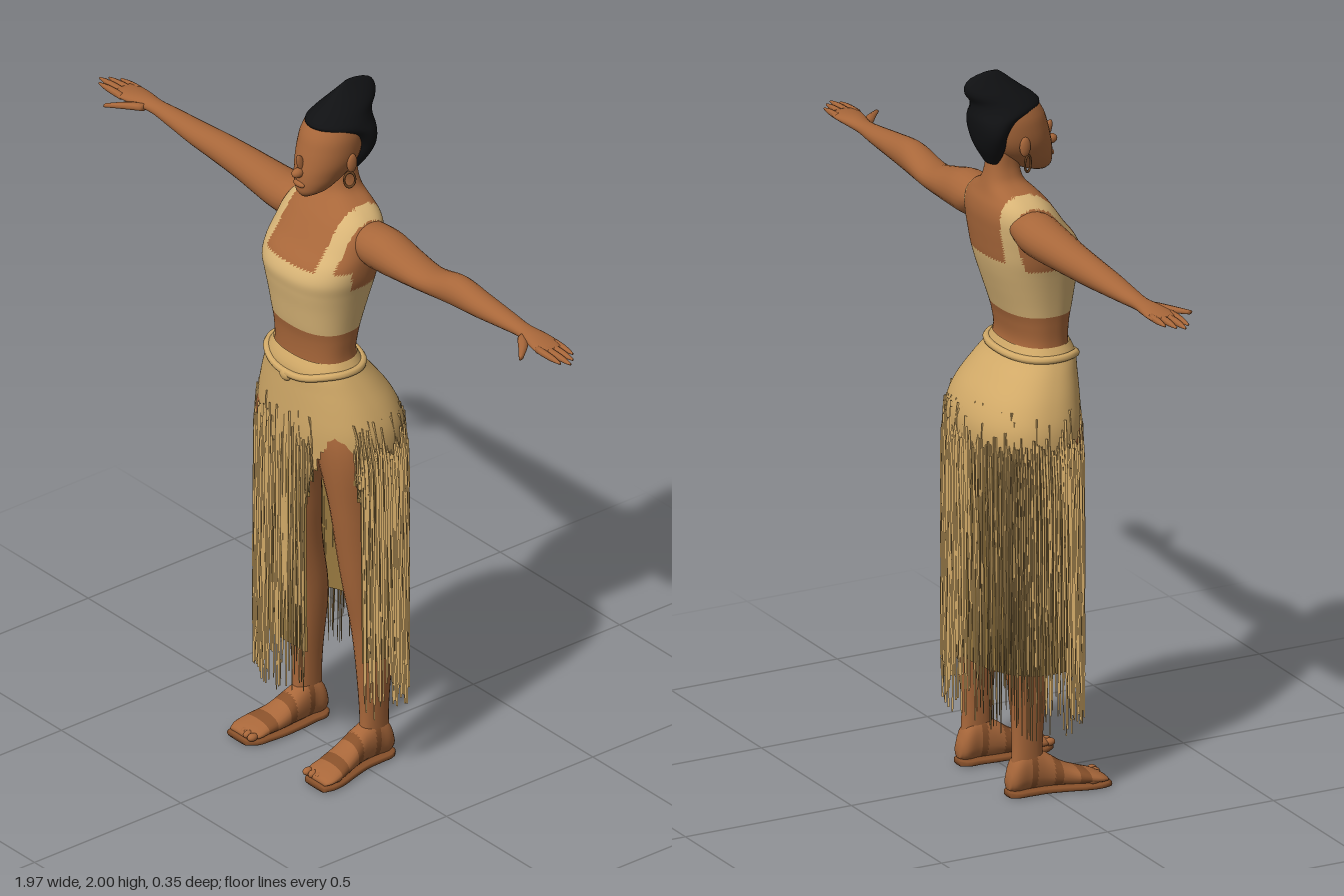
import * as THREE from 'three';

const paint = (name, color, side = THREE.FrontSide) => {
  const m = new THREE.MeshStandardMaterial({ color, side });
  m.name = name;
  return m;
};

// Small seeded random numbers
let seed = 7;
const rnd = (a = 0, b = 1) => {
  seed = (seed * 16807) % 2147483647;
  return a + (b - a) * seed / 2147483647;
};

// Smooth section lookup; each ring is [y, x0, x1, z0, z1]
function sections(rings) {
  const f = new THREE.CubicInterpolant(rings.map(r => r[0]), rings.flatMap(r => r.slice(1)), 4, new Float32Array(4));
  return y => Array.from(f.evaluate(y));
}
const power = (v, e) => Math.sign(v) * Math.pow(Math.abs(v), e);
function ringPoint([x0, x1, z0, z1], y, t, n) {
  return [(x0 + x1) / 2 + (x1 - x0) / 2 * power(Math.sin(t), 2 / n), y,
    (z0 + z1) / 2 + (z1 - z0) / 2 * power(Math.cos(t), 2 / n)];
}

// Closed skin over the rings; rule(x, y, z, t) picks a material index, -1 leaves a hole
function loft(name, rings, mats, { seg = 24, steps = 24, n = 2.2, rule = () => 0, caps = true } = {}) {
  const at = sections(rings), lo = rings[0][0], hi = rings[rings.length - 1][0];
  const pos = [], lists = mats.map(() => []);
  for (let i = 0; i <= steps; i++) {
    const y = lo + (hi - lo) * i / steps, s = at(y);
    for (let j = 0; j < seg; j++) pos.push(...ringPoint(s, y, j / seg * Math.PI * 2, n));
  }
  const face = (a, b, c, t) => {
    const m = k => (pos[a * 3 + k] + pos[b * 3 + k] + pos[c * 3 + k]) / 3;
    const g = rule(m(0), m(1), m(2), t);
    if (g >= 0) lists[g].push(a, b, c);
  };
  for (let i = 0; i < steps; i++) for (let j = 0; j < seg; j++) {
    const k = (j + 1) % seg, a = i * seg + j, b = i * seg + k, t = (j + 0.5) / seg * Math.PI * 2;
    face(a, b, b + seg, t);
    face(a, b + seg, a + seg, t);
  }
  if (caps) for (const [row, y] of [[0, lo], [steps, hi]]) {
    const s = at(y), c = pos.length / 3;
    pos.push((s[0] + s[1]) / 2, y, (s[2] + s[3]) / 2);
    for (let j = 0; j < seg; j++) {
      const a = row * seg + j, b = row * seg + (j + 1) % seg;
      row ? face(a, b, c, 0) : face(b, a, c, 0);
    }
  }
  const geo = new THREE.BufferGeometry();
  geo.setAttribute('position', new THREE.Float32BufferAttribute(pos, 3));
  geo.setIndex(lists.flat());
  let start = 0;
  lists.forEach((l, i) => { geo.addGroup(start, l.length, i); start += l.length; });
  geo.computeVertexNormals();
  const mesh = new THREE.Mesh(geo, mats.length > 1 ? mats : mats[0]);
  mesh.name = name;
  return mesh;
}

export function createModel() {
  seed = 7;
  const model = new THREE.Group();
  model.name = 'dancer';
  const skin = paint('skin', 0xa8673a), cloth = paint('cloth', 0xd9b577), hair = paint('hair', 0x101113);
  const straw = paint('straw', 0xd2aa68, THREE.DoubleSide), under = paint('underskirt', 0x97783f, THREE.DoubleSide);
  const leather = paint('leather', 0x87502a), metal = paint('earring', 0x6b4423);
  const ball = (name, mat, x, y, z, sx, sy, sz) => {
    const m = new THREE.Mesh(new THREE.SphereGeometry(1, 14, 10), mat);
    m.position.set(x, y, z);
    m.scale.set(sx, sy, sz);
    m.name = name;
    model.add(m);
    return m;
  };
  // Symmetric section: [y, halfWidth, zBack, zFront]
  const sym = list => list.map(([y, w, b, f]) => [y, -w, w, b, f]);

  // Torso with cropped top
  const top = (x, y, z) => {
    const w = Math.abs(x);
    if (y < 1.33 || y > 1.69) return 0;
    if (y < 1.47) return 1;
    if (w > 0.14 && z > -0.09 && z < 0.05) return 0;
    if (y < (z > 0 ? 1.525 : 1.49)) return 1;
    return w > 0.098 && w < 0.142 ? 1 : 0;
  };
  model.add(loft('torso', sym([
    [1.1, 0.17, -0.11, 0.11], [1.18, 0.14, -0.07, 0.122], [1.24, 0.128, -0.042, 0.12], [1.3, 0.131, -0.048, 0.124],
    [1.34, 0.136, -0.06, 0.132], [1.4, 0.146, -0.08, 0.142], [1.45, 0.156, -0.096, 0.151], [1.49, 0.165, -0.106, 0.155],
    [1.53, 0.168, -0.112, 0.138], [1.57, 0.167, -0.117, 0.106], [1.61, 0.16, -0.12, 0.078], [1.64, 0.143, -0.116, 0.056],
    [1.665, 0.112, -0.107, 0.033], [1.69, 0.064, -0.1, 0.01], [1.72, 0.046, -0.093, 0], [1.79, 0.043, -0.085, 0]]),
  [skin, cloth], { seg: 96, steps: 100, n: 2.4, rule: top }));

  // Head, nose, lips, ears and earrings
  model.add(loft('head', sym([
    [1.703, 0.014, 0.045, 0.085], [1.715, 0.034, 0.01, 0.095], [1.74, 0.053, -0.03, 0.098], [1.77, 0.067, -0.07, 0.096],
    [1.8, 0.077, -0.09, 0.09], [1.84, 0.081, -0.1, 0.08], [1.88, 0.078, -0.1, 0.066], [1.92, 0.062, -0.09, 0.036],
    [1.945, 0.035, -0.07, 0]]), [skin], { seg: 32, steps: 32, n: 2.1 }));
  ball('nose', skin, 0, 1.778, 0.1, 0.014, 0.014, 0.019);
  ball('noseBridge', skin, 0, 1.803, 0.09, 0.008, 0.03, 0.012).rotation.x = 0.35;
  ball('lips', skin, 0, 1.744, 0.096, 0.022, 0.009, 0.009);
  for (const s of [-1, 1]) {
    ball('ear', skin, s * 0.08, 1.8, -0.02, 0.009, 0.028, 0.016);
    const ring = new THREE.Mesh(new THREE.TorusGeometry(0.015, 0.003, 6, 16), metal);
    ring.position.set(s * 0.08, 1.752, -0.012);
    ring.scale.y = 1.5;
    ring.rotation.y = Math.PI / 3 * s;
    ring.name = 'earring';
    model.add(ring);
  }

  // Swept-up hair ending in a pointed bun
  model.add(loft('hair', sym([
    [1.745, 0.03, -0.095, -0.06], [1.79, 0.062, -0.12, -0.05], [1.84, 0.084, -0.133, -0.045], [1.875, 0.086, -0.137, -0.01],
    [1.9, 0.08, -0.136, 0.056], [1.92, 0.068, -0.138, 0.045], [1.945, 0.052, -0.155, 0.012], [1.97, 0.032, -0.156, -0.02],
    [1.99, 0.014, -0.135, -0.045], [2, 0.004, -0.1, -0.06]]), [hair], { seg: 32, steps: 36, n: 2 }));

  // Arms and fingers: [x, bottom, top, zBack, zFront]
  const limb = (name, side, rings, opt) => {
    const m = loft(name, rings.map(([x, b, t, z0, z1]) => side > 0 ? [x, -t, -b, z0, z1] : [x, b, t, z0, z1]), [skin], opt);
    m.rotation.z = -side * Math.PI / 2;
    model.add(m);
  };
  const armRings = [[0.11, 1.56, -0.09, 0.02], [0.17, 1.53, -0.095, 0.032], [0.22, 1.528, -0.095, 0.03], [0.3, 1.532, -0.092, 0.02],
    [0.38, 1.538, -0.09, 0.01], [0.5, 1.545, -0.085, 0], [0.6, 1.553, -0.08, -0.005], [0.7, 1.562, -0.075, -0.015],
    [0.77, 1.568, -0.07, -0.02], [0.82, 1.57, -0.076, -0.01], [0.87, 1.573, -0.08, 0], [0.9, 1.577, -0.076, -0.003]];
  const tops = {
    '1': [1.635, 1.645, 1.645, 1.625, 1.609, 1.632, 1.622, 1.61, 1.603, 1.603, 1.598, 1.594],
    '-1': [1.635, 1.642, 1.638, 1.634, 1.63, 1.624, 1.616, 1.609, 1.604, 1.603, 1.598, 1.594] };
  for (const s of [-1, 1]) {
    limb('arm', s, armRings.map(([x, b, z0, z1], i) => [x, b, tops[s][i], z0, z1]), { steps: 48, n: 2 });
    [[-0.068, 0.945], [-0.048, 0.97], [-0.028, 0.985], [-0.009, 0.965]].forEach(([z, x]) =>
      limb('finger', s, [[0.87, 1.576, 1.596, z - 0.01, z + 0.01], [x - 0.03, 1.577, 1.593, z - 0.008, z + 0.008],
        [x, 1.581, 1.587, z - 0.003, z + 0.003]], { seg: 8, steps: 6, n: 2 }));
    limb('thumb', s, [[0.79, 1.573, 1.595, -0.035, -0.005], [0.83, 1.572, 1.592, -0.01, 0.024],
      [0.87, 1.573, 1.585, 0.038, 0.055]], { seg: 8, steps: 8, n: 2 });
  }

  // Legs and sandalled feet
  const leg = [[0.06, 0.115, 0.165, -0.095, 0], [0.13, 0.112, 0.168, -0.09, -0.003], [0.2, 0.108, 0.172, -0.092, 0],
    [0.4, 0.09, 0.19, -0.105, 0.018], [0.55, 0.085, 0.195, -0.085, 0.048], [0.65, 0.08, 0.2, -0.078, 0.065],
    [0.8, 0.074, 0.206, -0.085, 0.09], [1, 0.03, 0.212, -0.1, 0.118], [1.1, 0.02, 0.18, -0.1, 0.115]];
  const foot = [[-0.105, 0.122, 0.155, 0.02, 0.06], [-0.09, 0.108, 0.168, 0.012, 0.1], [-0.05, 0.105, 0.172, 0.012, 0.13],
    [0, 0.1, 0.175, 0.012, 0.112], [0.06, 0.097, 0.19, 0.012, 0.073], [0.11, 0.1, 0.205, 0.012, 0.053],
    [0.15, 0.105, 0.208, 0.012, 0.038], [0.168, 0.125, 0.2, 0.014, 0.028]];
  const flip = (s, x0, x1) => s > 0 ? [x0, x1] : [-x1, -x0];
  const strap = (x, z) => (z > 0.085 && z < 0.115) || (z > 0.02 && z < 0.04) || (z > -0.045 && z < -0.03) ? 1 : 0;
  for (const s of [-1, 1]) {
    model.add(loft('leg', leg.map(([y, a, b, ...z]) => [y, ...flip(s, a, b), ...z]), [skin], { steps: 40 }));
    const f = loft('foot', foot.map(([z, a, b, lo, hi]) => [z, ...flip(s, a, b), -hi, -lo]), [skin, leather], { steps: 56, rule: strap });
    const sole = loft('sole', foot.map(([z, a, b], i) => [z + (i === 7 ? 0.007 : 0), ...flip(s, a - 0.004, b + 0.004), -0.018, 0]),
      [leather], { n: 4 });
    f.rotation.x = sole.rotation.x = Math.PI / 2;
    model.add(f, sole);
    for (let i = 0; i < 5; i++)
      ball('toe', skin, s * (0.116 + i * 0.02), 0.026, 0.16 - i * i * 0.0022, 0.012 - i * 0.0008, 0.011, 0.016);
  }

  // Skirt yoke and underskirt, open at the left thigh
  const skirt = sym([[0.1, 0.242, -0.168, 0.14], [0.4, 0.241, -0.169, 0.142], [0.7, 0.238, -0.17, 0.143], [0.95, 0.234, -0.171, 0.143],
    [1.04, 0.222, -0.166, 0.142], [1.1, 0.203, -0.143, 0.142], [1.16, 0.175, -0.1, 0.141], [1.21, 0.148, -0.06, 0.139], [1.24, 0.13, -0.046, 0.126]]);
  const slitBase = t => {
    const u = (t - 0.72) / 0.45;
    return Math.abs(u) < 1 ? 1.02 - 0.22 * u * u : 0;
  };
  const inset = skirt.map(([y, ...v]) => [y, ...v.map(k => k * (y < 1 ? 0.965 : 1))]);
  inset[0][0] = 0.36;
  inset[1][0] = 0.5;
  model.add(loft('skirtYoke', inset, [straw, under],
    { seg: 110, steps: 70, caps: false, n: 2.3, rule: (x, y, z, t) => y < slitBase(t) ? -1 : y < 0.93 ? 1 : 0 }));

  // Hanging straw strands, folded along the middle
  const at = sections(skirt), pos = [];
  const strand = (t, from, to, width, grow) => {
    const rows = 7, lean = rnd(-0.02, 0.02), row = i => {
      const k = i / rows, y = from + (to - from) * k, s = at(y);
      const w = width * (1 - 0.75 * k * k * k), a = t + lean * k + rnd(-0.006, 0.006);
      return [-w, 0, w].map(d => {
        const p = ringPoint(s, y, a + d, 2.3), r = grow + (d ? 0 : 0.022) + 0.012 * Math.sin(k * 9 + t * 40);
        return [p[0] * (1 + r), y, p[2] * (1 + r)];
      });
    };
    let last = row(0);
    for (let i = 1; i <= rows; i++) {
      const next = row(i);
      for (let c = 0; c < 2; c++)
        pos.push(...next[c], ...next[c + 1], ...last[c + 1], ...next[c], ...last[c + 1], ...last[c]);
      last = next;
    }
  };
  for (const [count, grow] of [[130, -0.03], [150, 0]]) for (let i = 0; i < count; i++) {
    const t = (i + rnd(-0.3, 0.3)) / count * Math.PI * 2, base = slitBase(t);
    if (base < 0.9) strand(t, rnd(0.96, 1.1), Math.max(base, rnd(0.18, 0.34)), rnd(0.013, 0.024), grow);
  }
  const fringe = new THREE.BufferGeometry();
  fringe.setAttribute('position', new THREE.Float32BufferAttribute(pos, 3));
  fringe.computeVertexNormals();
  const strands = new THREE.Mesh(fringe, straw);
  strands.name = 'skirtStrands';
  model.add(strands);

  // Rolled waistband dipping to a front knot
  const band = [];
  for (let i = 0; i < 40; i++) {
    const t = i / 40 * Math.PI * 2, y = 1.212 - 0.025 * Math.pow(Math.max(0, Math.cos(t)), 4);
    band.push(new THREE.Vector3(...ringPoint(at(y), y, t, 2.3)));
  }
  const roll = new THREE.Mesh(new THREE.TubeGeometry(new THREE.CatmullRomCurve3(band, true), 90, 0.011, 8, true), straw);
  roll.name = 'waistband';
  model.add(roll);
  ball('waistKnot', straw, 0, 1.18, 0.142, 0.022, 0.018, 0.012);
  return model;
}
